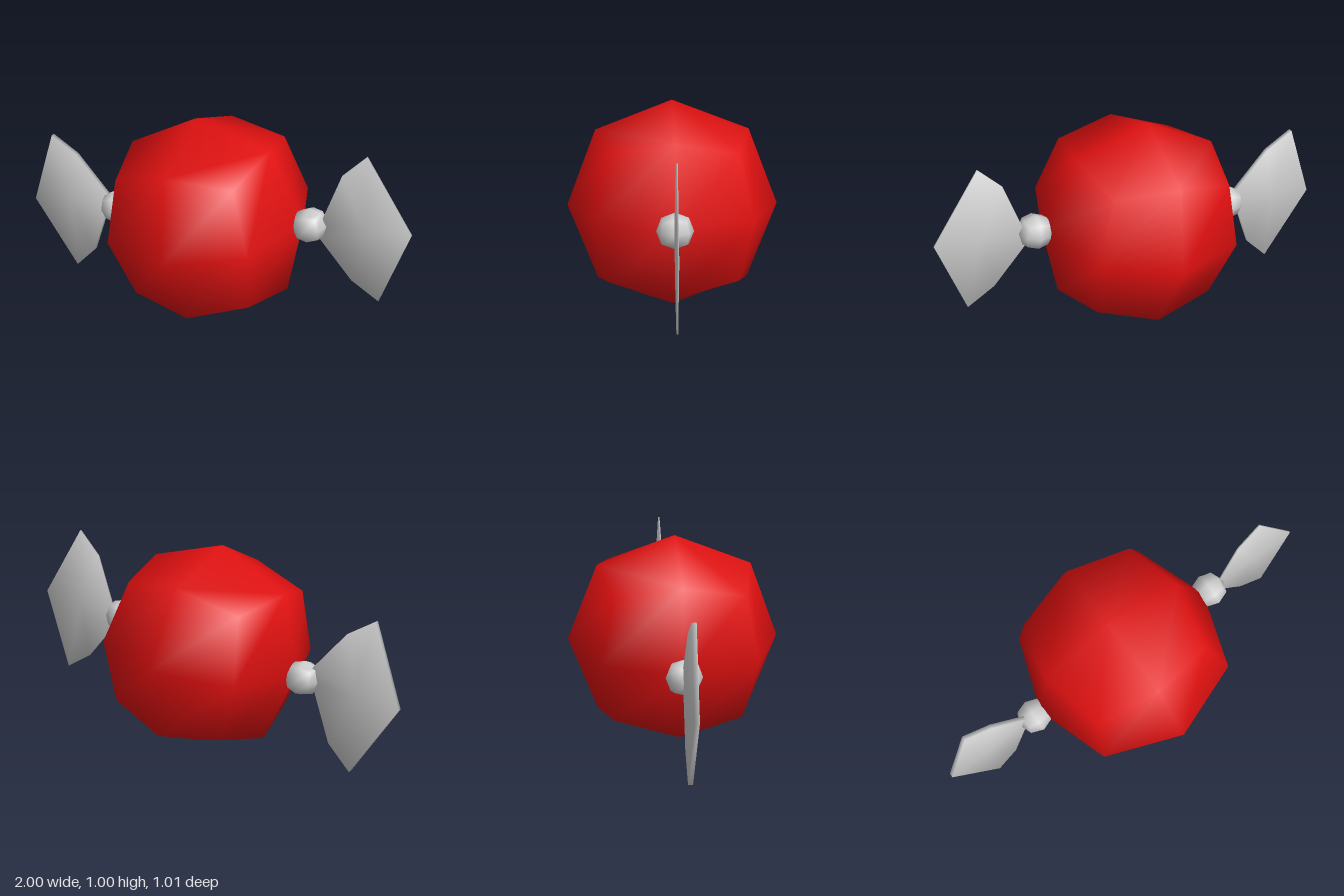
import * as THREE from 'three';

const red = new THREE.MeshStandardMaterial({ color: 0xe01010 });
red.name = 'red';
const grey = new THREE.MeshStandardMaterial({ color: 0xcfcfcf });
grey.name = 'light grey';

const TILT = 0.148;

// Low-poly ball: a subdivided cube pushed out, with smooth radial normals.
// radii: face centres on x, face centres on y/z, edge midpoints, corners.
function quadBall(name, material, [rx, ryz, rEdge, rCorner]) {
  const g = new THREE.BoxGeometry(2, 2, 2, 2, 2, 2);
  const p = g.attributes.position, n = g.attributes.normal;
  const v = new THREE.Vector3();
  for (let i = 0; i < p.count; i++) {
    v.fromBufferAttribute(p, i);
    const order = Math.round(v.lengthSq());
    const r = order === 3 ? rCorner : order === 2 ? rEdge : Math.abs(v.x) > 0.5 ? rx : ryz;
    v.normalize();
    n.setXYZ(i, v.x, v.y, v.z);
    p.setXYZ(i, v.x * r, v.y * r, v.z * r);
  }
  const mesh = new THREE.Mesh(g, material);
  mesh.name = name;
  return mesh;
}

// Thin fin: two fans around a centre point joined by a rim, softly shaded.
function fin(name, half) {
  const outline = [[0.565, 0.02], [0.735, -0.167], [0.873, -0.245], [1, 0.145],
    [0.768, 0.488], [0.658, 0.368], [0.565, 0.09]];
  const centre = [0.78, 0.11], count = outline.length;
  const pos = [], nor = [], idx = [];
  for (const s of [1, -1]) {
    for (const [x, y] of [...outline, centre]) {
      const n = new THREE.Vector3(x - centre[0], y - centre[1], 0).normalize()
        .multiplyScalar(0.5).setZ(s).normalize();
      pos.push(x, y, s * half);
      nor.push(n.x, n.y, n.z);
    }
  }
  const back = count + 1;
  for (let i = 0; i < count; i++) {
    const j = (i + 1) % count;
    idx.push(count, i, j, back + count, back + j, back + i);
    idx.push(i, back + i, back + j, i, back + j, j);
  }
  const g = new THREE.BufferGeometry();
  g.setAttribute('position', new THREE.Float32BufferAttribute(pos, 3));
  g.setAttribute('normal', new THREE.Float32BufferAttribute(nor, 3));
  g.setIndex(idx);
  const mesh = new THREE.Mesh(g, grey);
  mesh.name = name;
  return mesh;
}

export function createModel() {
  const model = new THREE.Group();
  model.name = 'finnedBall';

  const body = quadBall('body', red, [0.487, 0.506, 0.517, 0.522]);
  body.rotation.z = TILT;
  body.position.y = 0.5;
  model.add(body);

  // Each side is the other turned half way round the z axis
  for (const [side, turn, half] of [['left', 0, 0.004], ['right', Math.PI, 0.011]]) {
    const arm = new THREE.Group();
    arm.name = side + 'Arm';
    const joint = quadBall(side + 'Joint', grey, [0.084, 0.084, 0.086, 0.087]);
    joint.position.set(0.515, 0.077, 0);
    joint.rotation.z = TILT;
    arm.add(joint, fin(side + 'Fin', half));
    arm.rotation.z = turn;
    arm.position.y = 0.5;
    model.add(arm);
  }
  return model;
}
